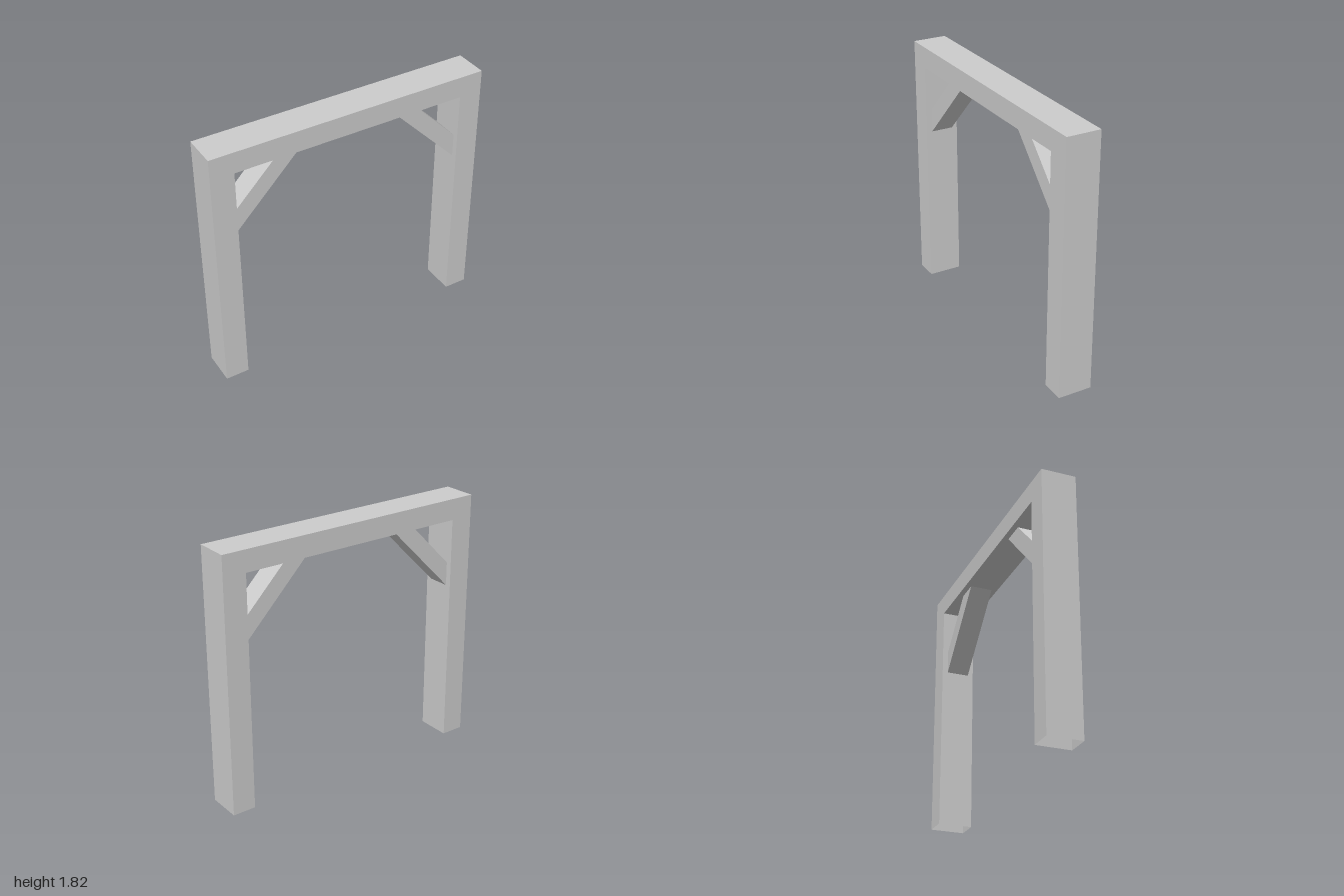
import * as THREE from 'three';

const POST_INNER = 0.835, BEAM_BOTTOM = 1.665, TOP = 1.815;

const material = new THREE.MeshStandardMaterial({
  color: 0xcccccc, flatShading: true, side: THREE.DoubleSide,
});

// Extrudes an outline symmetrically about z = 0, leaving out the end faces picked by isOpen(x, y).
function timber(name, outline, depth, isOpen) {
  const shape = new THREE.Shape(outline.map(([x, y]) => new THREE.Vector2(x, y)));
  const source = new THREE.ExtrudeGeometry(shape, { depth, bevelEnabled: false });
  source.translate(0, 0, -depth / 2);
  const p = source.attributes.position;
  const kept = [];
  for (let i = 0; i < p.count; i += 3) {
    const corners = [i, i + 1, i + 2];
    if (corners.every((j) => isOpen(p.getX(j), p.getY(j)))) continue;
    for (const j of corners) kept.push(p.getX(j), p.getY(j), p.getZ(j));
  }
  const geometry = new THREE.BufferGeometry();
  geometry.setAttribute('position', new THREE.Float32BufferAttribute(kept, 3));
  geometry.computeVertexNormals();
  const mesh = new THREE.Mesh(geometry, material);
  mesh.name = name;
  return mesh;
}

export function createModel() {
  const model = new THREE.Group();
  model.name = 'timberFrame';
  const near = (a, b) => Math.abs(a - b) < 1e-4;

  // Two posts and the crossbeam as one hollow arch, open under the feet
  model.add(timber('postsAndBeam', [
    [-1, 0], [-POST_INNER, 0], [-POST_INNER, BEAM_BOTTOM], [POST_INNER, BEAM_BOTTOM],
    [POST_INNER, 0], [1, 0], [1, TOP], [-1, TOP],
  ], 0.24, (x, y) => near(y, 0)));

  // Diagonal corner braces, open where they meet the post and the beam
  for (const [name, s] of [['leftBrace', 1], ['rightBrace', -1]]) {
    const outline = [
      [POST_INNER, 1.175], [POST_INNER, 1.345], [0.52, BEAM_BOTTOM], [0.355, BEAM_BOTTOM],
    ].map(([x, y]) => [s * x, y]);
    const brace = timber(name, outline, 0.16, () => false);
    // Remove the mating end faces, which lie flush on the frame
    const ends = [(x) => near(Math.abs(x), POST_INNER), (x, y) => near(y, BEAM_BOTTOM)];
    const p = brace.geometry.attributes.position;
    const kept = [];
    for (let i = 0; i < p.count; i += 3) {
      const tri = [i, i + 1, i + 2];
      if (ends.some((end) => tri.every((j) => end(p.getX(j), p.getY(j))))) continue;
      for (const j of tri) kept.push(p.getX(j), p.getY(j), p.getZ(j));
    }
    brace.geometry.setAttribute('position', new THREE.Float32BufferAttribute(kept, 3));
    brace.geometry.deleteAttribute('normal');
    brace.geometry.computeVertexNormals();
    model.add(brace);
  }
  return model;
}
